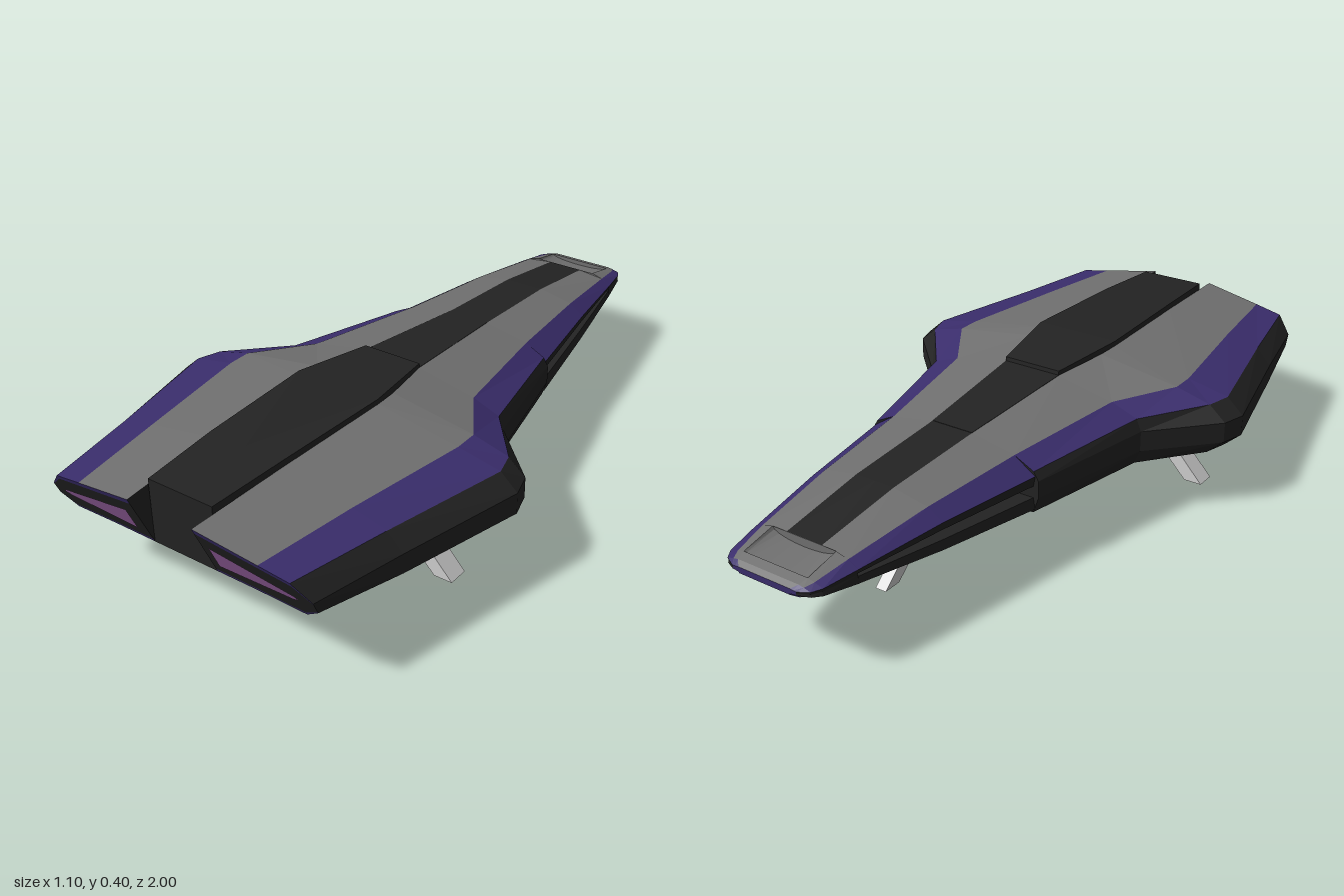
import * as THREE from 'three';

const mat = (name, color, side = THREE.FrontSide) => {
  const m = new THREE.MeshStandardMaterial({ color, side });
  m.name = name;
  return m;
};

export function createModel() {
  const root = new THREE.Group();
  root.name = 'spacecraft';
  const M = {
    grey: mat('hullGrey', 0x707070, THREE.DoubleSide),
    darkGrey: mat('undersideGrey', 0x585858),
    purple: mat('purpleTrim', 0x3a2d6c),
    black: mat('blackPanel', 0x232323),
    glass: mat('violetGlass', 0x96619f),
    steel: mat('landingGearSteel', 0xcfcfcf),
  };

  // Collects flat faces by colour, mirrored in x, and makes one mesh per colour
  function builder(name) {
    const bins = {};
    const tri = (c, a, b, d) => (bins[c] ??= []).push(...a, ...b, ...d);
    const flip = (p) => [-p[0], p[1], p[2]];
    const poly = (c, pts) => {
      for (let i = 1; i < pts.length - 1; i++) {
        tri(c, pts[0], pts[i], pts[i + 1]);
        tri(c, flip(pts[0]), flip(pts[i + 1]), flip(pts[i]));
      }
    };
    // rings: outlines from front to back; colour(i, j) may return null for a hole
    const loft = (rings, colour, closed, reverse = false) => {
      const n = rings[0].length;
      for (let i = 0; i < rings.length - 1; i++) {
        for (let j = 0; j < (closed ? n : n - 1); j++) {
          const c = colour(i, j), k = (j + 1) % n;
          const q = [rings[i][j], rings[i][k], rings[i + 1][k], rings[i + 1][j]];
          if (c) poly(c, reverse ? q.reverse() : q);
        }
      }
    };
    const done = () => {
      const g = new THREE.Group();
      g.name = name;
      for (const [c, pos] of Object.entries(bins)) {
        const geo = new THREE.BufferGeometry();
        geo.setAttribute('position', new THREE.Float32BufferAttribute(pos, 3));
        geo.computeVertexNormals();
        const mesh = new THREE.Mesh(geo, M[c]);
        mesh.name = name + '_' + c;
        g.add(mesh);
      }
      root.add(g);
    };
    return { poly, loft, done };
  }

  // Main hull halves: z, half widths (strip, grey, purple, belt), then heights top to bottom
  const frontZ = (y) => 0.93 + (y - 0.21) * 0.4375;
  const hullRows = [
    [null, 0.10, 0.28, 0.365, 0.41, 0.37, 0.34, 0.325, 0.275, 0.24, 0.205, 0.21, 0.21],
    [0.7, 0.115, 0.32, 0.42, 0.465, 0.38, 0.345, 0.322, 0.275, 0.22, 0.185, 0.15, 0.14],
    [0.34, 0.13, 0.375, 0.50, 0.55, 0.385, 0.345, 0.32, 0.275, 0.215, 0.17, 0.135, 0.12],
    [0.27, 0.125, 0.375, 0.48, 0.53, 0.383, 0.345, 0.318, 0.275, 0.215, 0.17, 0.135, 0.12],
    [0.1, 0.09, 0.265, 0.345, 0.36, 0.37, 0.335, 0.305, 0.27, 0.21, 0.17, 0.14, 0.125],
    [-0.28, 0.065, 0.20, 0.26, 0.275, 0.34, 0.315, 0.285, 0.26, 0.21, 0.165, 0.15, 0.14],
  ];
  const hullRings = hullRows.map(([z, s, g, p, o, ...y]) =>
    [s, g, p, o, o, p, g * 0.8, s].map((x, k) => [x, y[k], z ?? frontZ(y[k])]));
  const hullBands = ['grey', 'purple', 'black', 'black', 'black', 'purple', 'darkGrey', 'black'];
  const hull = builder('hull');
  hull.loft(hullRings, (i, j) => hullBands[j], true);
  hull.poly('black', hullRings[5]);
  // Raked front face with purple lips above and below
  const mix = (k, t) => hullRings[0][k].map((v, a) => v + (hullRings[0][7 - k][a] - v) * t);
  for (const [t0, t1, c] of [[0, 0.1, 'purple'], [0.1, 0.94, 'black'], [0.94, 1, 'purple']]) {
    for (let k = 0; k < 3; k++) hull.poly(c, [mix(k, t1), mix(k + 1, t1), mix(k + 1, t0), mix(k, t0)]);
  }
  hull.done();

  // Slit windows
  const windows = builder('windows');
  windows.poly('glass', [[0.13, 0.25], [0.35, 0.26], [0.372, 0.266], [0.36, 0.276], [0.13, 0.32]]
    .map(([x, y]) => [x, y, frontZ(y) + 0.004]));
  windows.done();

  // Central spine: raised canopy in front, flush strip behind
  const spineRings = [
    [0.93, 0.10, 0.39, 0.21], [0.7, 0.115, 0.398, 0.135], [0.34, 0.13, 0.40, 0.115],
    [0.1, 0.09, 0.383, 0.122], [0.099, 0.09, 0.371, 0.122], [-0.28, 0.065, 0.341, 0.138],
  ].map(([z, w, t, b]) => [[0, t, z], [w, t, z], [w, b, z], [0, b, z]]);
  const spine = builder('spine');
  spine.loft(spineRings, () => 'black', false);
  spine.poly('black', [...spineRings[0]].reverse());
  spine.poly('black', spineRings[5]);
  spine.done();

  // Tail: two plates with a slot between them
  // z, strip, grey, purple half widths | upper: spine, grey, edge, inside | lower: inside, edge, grey, keel
  const tailRows = [
    [-0.28, 0.065, 0.20, 0.265, 0.34, 0.315, 0.272, 0.242, 0.208, 0.175, 0.155, 0.143],
    [-0.6, 0.06, 0.165, 0.21, 0.322, 0.302, 0.272, 0.25, 0.222, 0.195, 0.175, 0.165],
    [-0.86, 0.055, 0.135, 0.165, 0.287, 0.277, 0.26, 0.248, 0.24, 0.222, 0.205, 0.20],
    [-0.861, 0.10, 0.135, 0.165, 0.287, 0.277, 0.26, 0.245, 0.245, 0.222, 0.205, 0.20],
    [-0.96, 0.10, 0.12, 0.145, 0.267, 0.262, 0.254, 0.245, 0.245, 0.234, 0.222, 0.217],
    [-0.985, 0.095, 0.11, 0.13, 0.26, 0.257, 0.252, 0.245, 0.245, 0.238, 0.23, 0.226],
    [-1, 0.08, 0.09, 0.10, 0.252, 0.251, 0.25, 0.245, 0.245, 0.241, 0.238, 0.235],
  ];
  const tailRings = (lower) => tailRows.map(([z, s, g, p, ...y]) => {
    const h = lower ? [y[7], y[6], y[5], y[4]] : y.slice(0, 4);
    return [[0, h[0], z], [s, h[0], z], [lower ? g * 0.88 : g, h[1], z], [p, h[2], z],
      [p * 0.98, h[3], z], [0, h[3], z]];
  });
  for (const lower of [false, true]) {
    const face = lower ? 'darkGrey' : 'grey';
    const rings = tailRings(lower);
    const tail = builder(lower ? 'lowerTail' : 'upperTail');
    tail.loft(rings, (i, j) => {
      if (j === 0) return i < 2 ? 'black' : i === 3 ? null : face;
      if (j === 1) return i > 4 ? 'purple' : face;
      return j === 2 ? 'purple' : 'black';
    }, false, lower);
    tail.poly('purple', lower ? [...rings[6]].reverse() : rings[6]);
    // Curved scoop sunk into the tail tip
    const sign = lower ? 1 : -1, n = 5;
    const y0 = rings[3][0][1], y1 = rings[4][0][1];
    const row = (y, z, depth) => Array.from({ length: n + 1 }, (_, k) => {
      const a = (k / n) * Math.PI / 2;
      return [0.1 * Math.sin(a), y + sign * depth * Math.cos(a), z];
    });
    tail.loft([row(y0, -0.861, 0), row(y0, -0.861, 0.024), row(y1, -0.96, 0.014), row(y1, -0.96, 0)],
      () => face, false, lower);
    tail.done();
  }

  // Landing gear: bent leg profile, extruded
  function leg(name, x, foot, width) {
    const shape = new THREE.Shape([
      [x, 0.18], [x, 0.105], [x - 0.012 + 0.03, 0.088], [foot, 0], [foot + 0.055, 0],
      [x + 0.06, 0.105], [x + 0.055, 0.18],
    ].map((p) => new THREE.Vector2(...p)).reverse());
    const geo = new THREE.ExtrudeGeometry(shape, { depth: width, bevelEnabled: false });
    geo.translate(0, 0, -width / 2);
    const mesh = new THREE.Mesh(geo, M.steel);
    mesh.name = name;
    root.add(mesh);
    return mesh;
  }
  leg('leftLeg', 0.265, 0.367, 0.06).position.z = 0.4;
  const right = leg('rightLeg', 0.265, 0.367, 0.06);
  right.rotation.y = Math.PI;
  right.position.z = 0.4;
  leg('rearLeg', 0.42, 0.545, 0.034).rotation.y = Math.PI / 2;

  // Boarding ramp, slot strut and underside vents
  function box(name, size, pos, rot, material) {
    const mesh = new THREE.Mesh(new THREE.BoxGeometry(...size), material);
    mesh.name = name;
    mesh.position.set(...pos);
    mesh.rotation.set(...rot);
    root.add(mesh);
  }
  box('ramp', [0.08, 0.009, 0.2], [0, 0.129, -0.08], [0.045, 0, 0], M.grey);
  box('slotStrut', [0.08, 0.05, 0.14], [0, 0.235, -0.37], [0.36, 0, 0], M.grey);
  for (const side of [-1, 1]) {
    for (const z of [-0.09, 0.07]) {
      box('vent', [0.09, 0.009, 0.12], [side * 0.135, 0.136 - z * 0.05, z], [0.06, 0, side * 0.12], M.black);
    }
  }
  return root;
}
